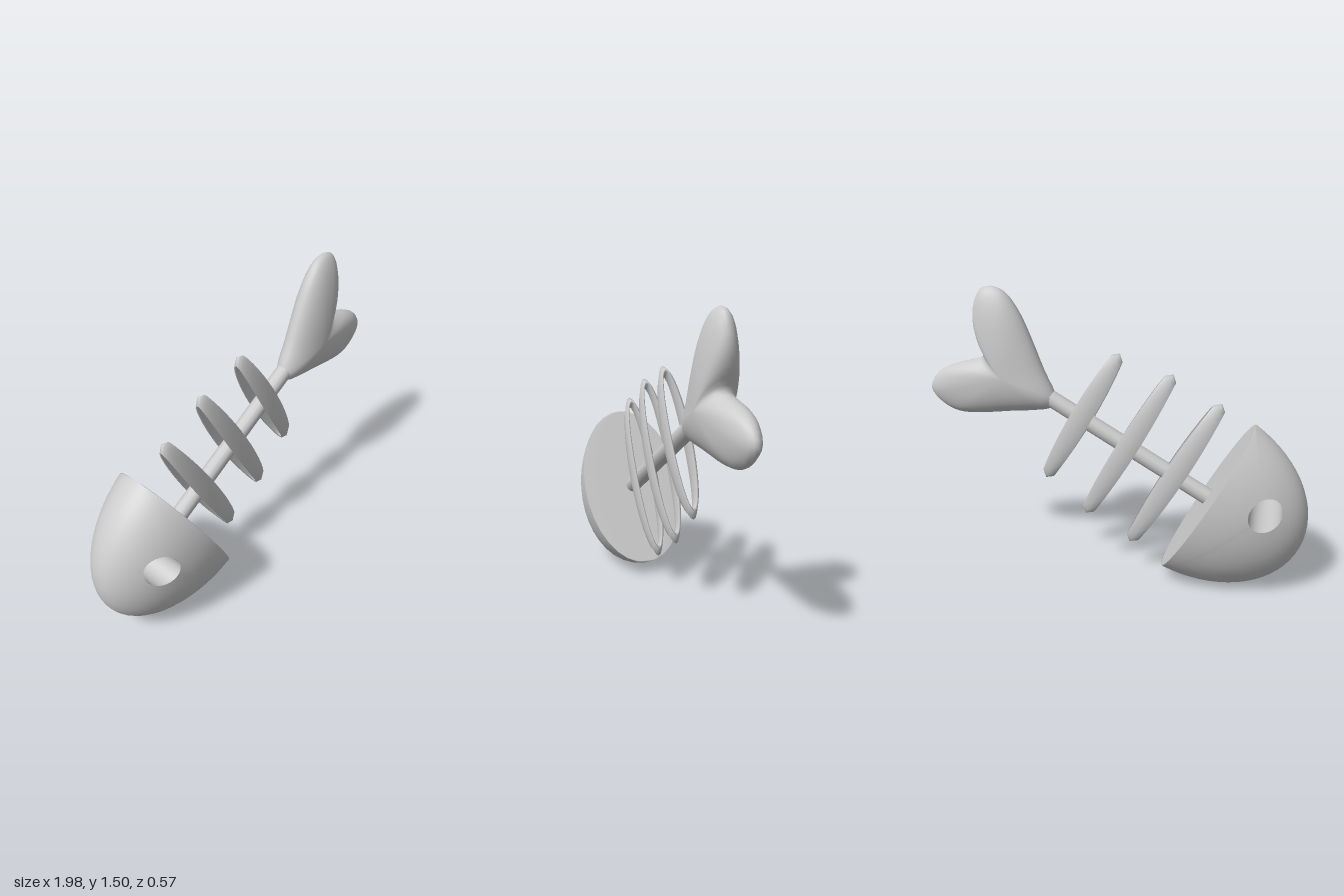
import * as THREE from 'three';
import { mergeVertices } from 'three/addons/utils/BufferGeometryUtils.js';

const material = new THREE.MeshStandardMaterial({ color: 0xcccccc });

// Smooth surface through rows of points
function surface(rows) {
  const n = rows[0].length, pos = [], idx = [];
  rows.forEach(row => row.forEach(p => pos.push(...p)));
  for (let r = 0; r < rows.length - 1; r++) {
    for (let c = 0; c < n - 1; c++) {
      const a = r * n + c, b = a + 1, d = a + n, e = d + 1;
      idx.push(a, d, b, b, d, e);
    }
  }
  const g = new THREE.BufferGeometry();
  g.setAttribute('position', new THREE.Float32BufferAttribute(pos, 3));
  g.setIndex(idx);
  const merged = mergeVertices(g, 1e-4);
  merged.computeVertexNormals();
  return merged;
}

function add(parent, name, geometry) {
  const m = new THREE.Mesh(geometry, material);
  m.name = name;
  parent.add(m);
  return m;
}

// Pillow between an inner and an outer counter-clockwise loop, mirrored in z
function pillow(inner, outer, height, steps, rimSteps) {
  const front = [];
  for (let s = 0; s <= steps; s++) {
    const t = Math.sin(s / steps * Math.PI / 2);
    front.push(outer.map((o, i) => {
      const p = inner[i].clone().lerp(o, t);
      return [p.x, p.y, height(p.x, p.y, t)];
    }));
  }
  const rim = [];
  for (let s = 1; s < rimSteps; s++) {
    rim.push(front[steps].map(([x, y, z]) => [x, y, z * (1 - 2 * s / rimSteps)]));
  }
  const back = front.map(row => row.map(([x, y, z]) => [x, y, -z])).reverse();
  return surface([...front, ...rim, ...back]);
}

// Half egg with a flat back and a round eye hole straight through
function addHead(parent) {
  const L = 0.535, H = 0.455, W = 0.285;
  const radius = a => H * Math.sqrt(Math.max(0, (1 - a) * (1 + 0.78 * a)));
  const height = (x, y) => W / H * Math.sqrt(Math.max(0, radius(-x / L) ** 2 - y * y));
  const outline = [];
  for (let i = 0; i <= 32; i++) {
    const f = Math.PI / 2 - i / 32 * Math.PI;
    const a = Math.max(0, Math.cos(f));
    outline.push(new THREE.Vector2(-L * a, Math.sign(f) * radius(a)));
  }
  for (let i = 1; i <= 16; i++) {
    outline.push(new THREE.Vector2(0, -H * Math.cos(i / 16 * Math.PI)));
  }
  const eye = new THREE.Vector2(-0.253, 0.163);
  const hole = outline.map(p => {
    const a = Math.atan2(p.y - eye.y, p.x - eye.x);
    return new THREE.Vector2(eye.x + 0.08 * Math.cos(a), eye.y + 0.086 * Math.sin(a));
  });
  add(parent, 'head', pillow(hole, outline, height, 10, 6));
  const edge = s => hole.map(p => [p.x, p.y, s * height(p.x, p.y)]);
  add(parent, 'eyeHole', surface([edge(-1), edge(1)]));
}

// Long hoop around the spine, widest at its middle
function ribGeometry(H, W) {
  const rows = [];
  for (let i = 0; i <= 32; i++) {
    const t = i / 32 * Math.PI * 2, c = Math.cos(t), s = Math.sin(t);
    const w = 0.033 + 0.02 * c * c;
    const at = (x, dy, dz) => [x, (H - dy) * s, (W - dz) * c];
    rows.push([
      at(0, 0, 0), at(-w, 0.03, 0.006), at(-w * 0.9, 0.045, 0.014),
      at(0, 0.055, 0.018),
      at(w * 0.9, 0.045, 0.014), at(w, 0.03, 0.006), at(0, 0, 0)
    ]);
  }
  return surface(rows);
}

// Heart-shaped puffy tail fin
function addTail(parent) {
  const points = [
    [0.69, 1.15], [0.72, 1.24], [0.737, 1.32], [0.732, 1.4], [0.695, 1.485],
    [0.635, 1.503], [0.57, 1.48], [0.5, 1.39], [0.44, 1.26], [0.37, 1.08],
    [0.315, 0.96], [0.31, 0.92], [0.335, 0.89], [0.42, 0.873], [0.55, 0.86],
    [0.76, 0.838], [0.86, 0.847], [0.945, 0.895], [0.993, 0.965],
    [0.95, 1.045], [0.86, 1.095], [0.77, 1.12]
  ].map(([x, y]) => new THREE.Vector3(x, y, 0));
  const outline = new THREE.CatmullRomCurve3(points, true, 'centripetal')
    .getPoints(66).map(p => new THREE.Vector2(p.x, p.y));
  const centre = outline.map(() => new THREE.Vector2(0.57, 1.05));
  const height = (x, y, t) => 0.095 * Math.sqrt(Math.max(0, 1 - t * t));
  add(parent, 'tail', pillow(centre, outline, height, 10, 1));
}

export function createModel() {
  const model = new THREE.Group();
  model.name = 'fishSkeleton';

  // Head, spine and ribs share one tilted axis
  const body = new THREE.Group();
  body.name = 'body';
  body.position.set(-0.48, 0.465, 0);
  body.rotation.z = Math.PI / 6;
  model.add(body);

  addHead(body);

  const spine = add(body, 'spine', new THREE.CylinderGeometry(0.043, 0.043, 1.0, 12));
  spine.rotation.z = -Math.PI / 2;
  spine.position.x = 0.48;

  [[0.2, 0.46, 0.067], [0.48, 0.455, 0.067], [0.76, 0.4, 0.062]].forEach(([x, h, w], i) => {
    add(body, 'rib' + (i + 1), ribGeometry(h, w)).position.x = x;
  });

  addTail(model);
  return model;
}
